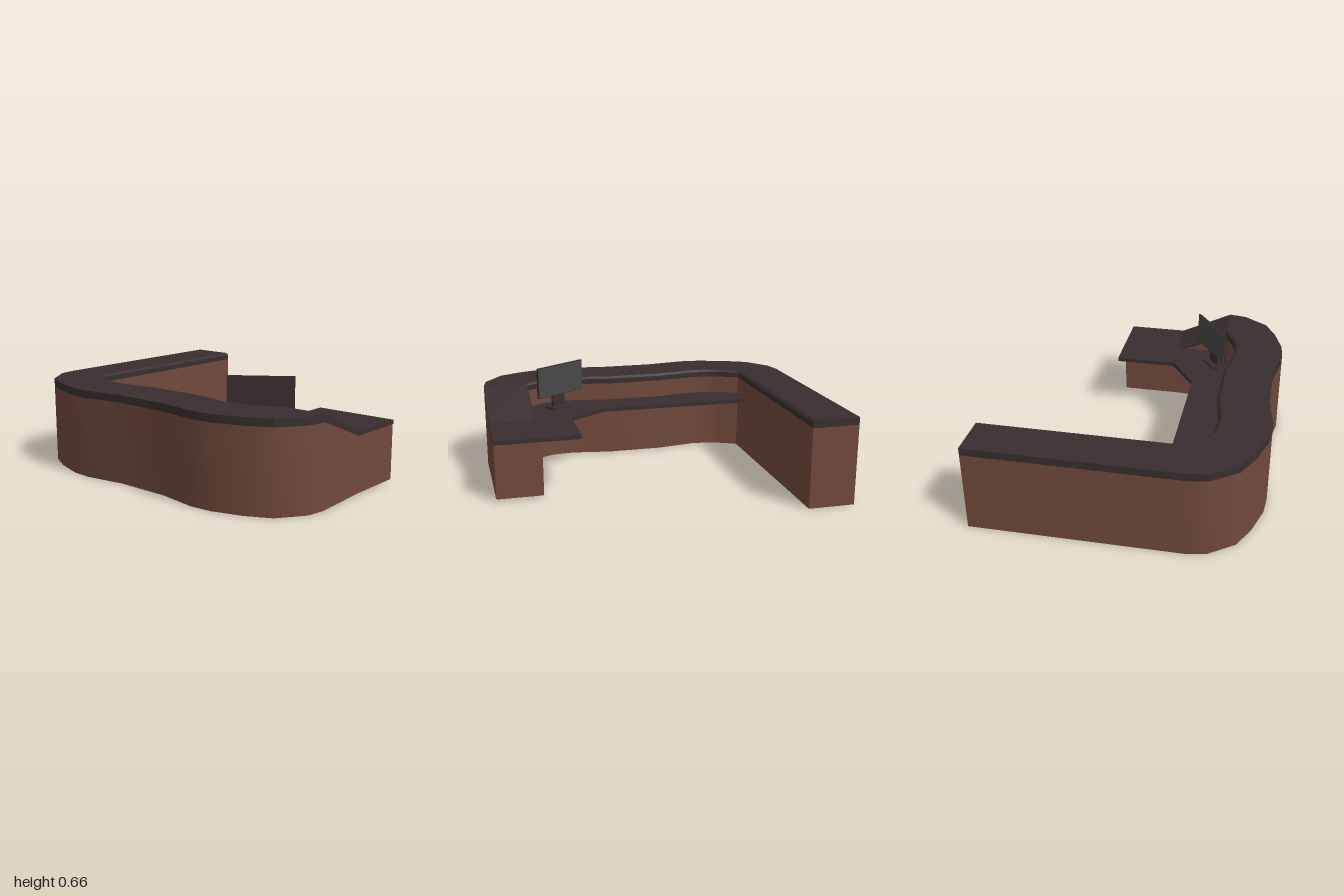
import * as THREE from 'three';
import { toCreasedNormals } from 'three/addons/utils/BufferGeometryUtils.js';

const wood = new THREE.MeshStandardMaterial({ color: 0x71493c });
wood.name = 'brown wood';
const dark = new THREE.MeshStandardMaterial({ color: 0x382e2f });
dark.name = 'dark counter';
const glass = new THREE.MeshStandardMaterial({ color: 0x484848 });
glass.name = 'grey screen';

// Left half of the curved front in plan: [outer x, outer z, inner x, inner z]
const curve = [
  [-1, 0.42, -0.72, 0.42], [-0.98, 0.53, -0.7, 0.43], [-0.87, 0.68, -0.65, 0.455],
  [-0.73, 0.75, -0.6, 0.48], [-0.55, 0.805, -0.55, 0.5], [-0.42, 0.815, -0.42, 0.51],
  [-0.17, 0.775, -0.17, 0.47],
];
const mirrored = curve.map(([a, b, c, d]) => [-a, b, -c, d]).reverse();
const front = [[-1, -0.82, -0.72, -0.82], ...curve, ...mirrored];

// Joins cross-sections (loops of [x, y, z]) into a closed solid
function loft(sections, crease) {
  const n = sections[0].length, last = (sections.length - 1) * n, index = [];
  for (let i = 0; i < sections.length - 1; i++) {
    for (let j = 0; j < n; j++) {
      const a = i * n + j, b = i * n + ((j + 1) % n);
      index.push(a, a + n, b, b, a + n, b + n);
    }
  }
  for (let j = 1; j < n - 1; j++) {
    index.push(0, j, j + 1, last, last + j + 1, last + j);
  }
  const g = new THREE.BufferGeometry();
  g.setAttribute('position', new THREE.Float32BufferAttribute(sections.flat(2), 3));
  g.setIndex(index);
  return toCreasedNormals(g, crease);
}

function add(parent, name, geometry, material, x = 0, y = 0, z = 0) {
  const mesh = new THREE.Mesh(geometry, material);
  mesh.name = name;
  mesh.position.set(x, y, z);
  parent.add(mesh);
  return mesh;
}

export function createModel() {
  const desk = new THREE.Group();
  desk.name = 'receptionDesk';

  // Wooden body, dropping to a lower pedestal at the left end
  const bodySection = ([ox, oz, ix, iz], top, bottom) => [
    [ox, bottom, oz], [ox, top, oz], [ix, top, iz], [ix, bottom, iz],
  ];
  add(desk, 'body', loft([
    ...front.map((s) => bodySection(s, 0.48, 0)),
    bodySection([1, 0.09, 0.72, 0.09], 0.345, 0.014),
    bodySection([1, -0.27, 0.72, -0.27], 0.345, 0.014),
  ], 0.6), wood);
  add(desk, 'pedestalEndPanel', new THREE.BoxGeometry(0.27, 0.33, 0.009), wood, 0.862, 0.18, -0.2745);

  // Raised counter with a small chamfer along the inner edge
  const counterSection = ([ox, oz, ix, iz], top, bottom) => {
    const k = 0.05;
    return [
      [ox, bottom, oz], [ox, top, oz],
      [ix + (ox - ix) * k, top, iz + (oz - iz) * k],
      [ix, top - 0.013, iz], [ix, bottom, iz],
    ];
  };
  add(desk, 'counter', loft([
    ...front.map((s) => counterSection(s, 0.525, 0.48)),
    counterSection([1, 0.09, 0.72, 0.09], 0.37, 0.345),
  ], 0.3), dark);

  // Lower worktop, fitted to the inner side of the body
  const inner = front.slice(1).map((s) => [s[2], s[3]]);
  const outline = [
    ...inner, [0.72, 0.09], [1, 0.09], [1, -0.28], [0.49, -0.28],
    [0.49, 0.1], [0.25, 0.26], [-0.72, 0.26],
  ].map(([x, z]) => new THREE.Vector2(x, z));
  const top = new THREE.ExtrudeGeometry(new THREE.Shape(outline), { depth: 0.025, bevelEnabled: false });
  top.rotateX(Math.PI / 2);
  add(desk, 'worktop', top, dark, 0, 0.37, 0);

  // Monitor, turned towards the person behind the desk
  const monitor = new THREE.Group();
  monitor.name = 'monitor';
  monitor.position.set(0.52, 0, 0.35);
  monitor.rotation.y = 0.6;
  add(monitor, 'monitorCase', new THREE.BoxGeometry(0.38, 0.195, 0.012), dark, 0, 0.56, 0);
  add(monitor, 'screen', new THREE.BoxGeometry(0.37, 0.185, 0.004), glass, 0, 0.56, -0.007);
  add(monitor, 'monitorNeck', new THREE.BoxGeometry(0.1, 0.18, 0.015), dark, 0, 0.465, 0.022);
  add(monitor, 'monitorFoot', new THREE.BoxGeometry(0.16, 0.012, 0.08), dark, 0, 0.376, 0.015);
  desk.add(monitor);

  return desk;
}
